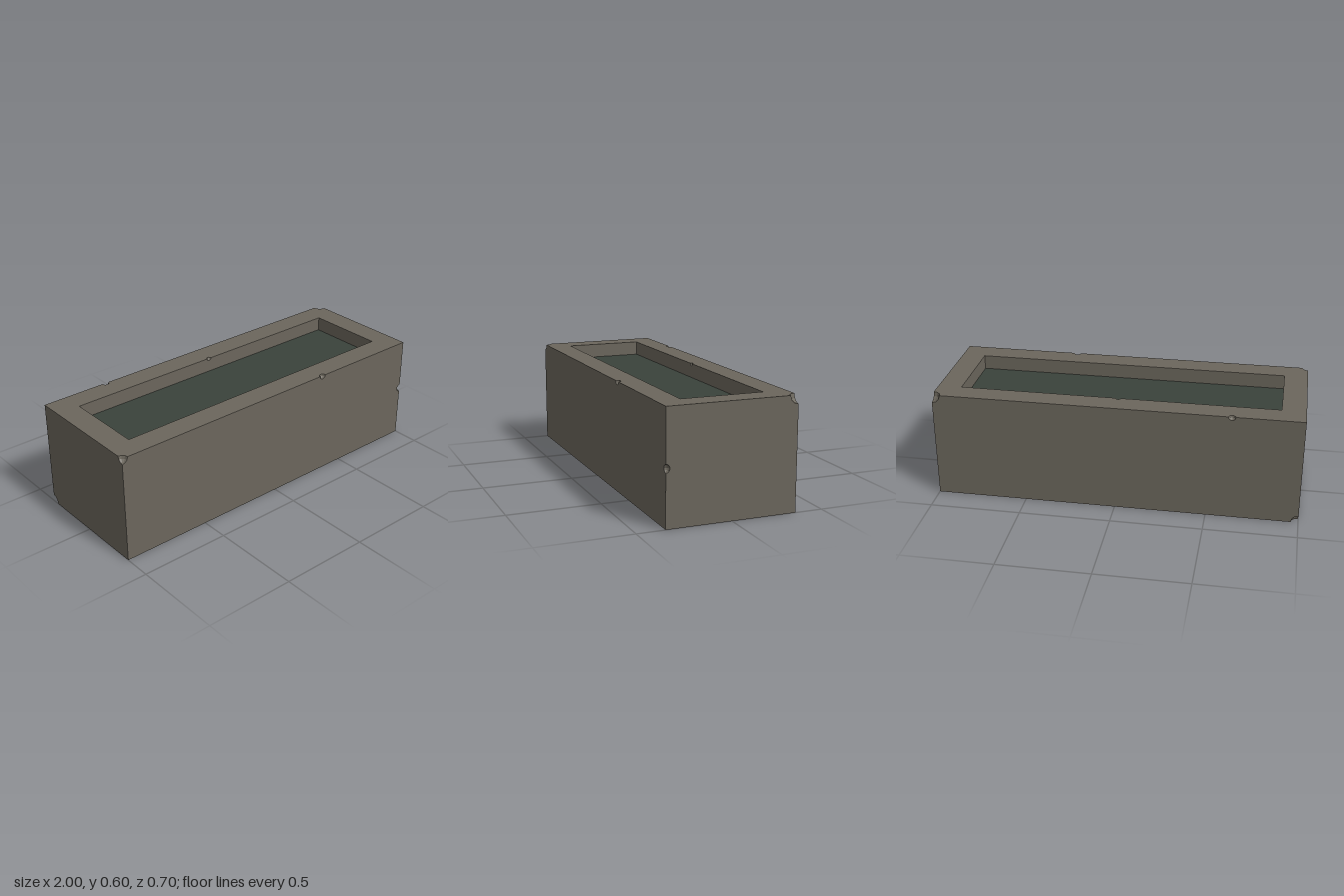
import * as THREE from 'three';

const W = 1, H = 0.6, D = 0.35;            // half width, height, half depth
const IW = 0.87, ID = 0.222, WATER = 0.52; // basin half width, half depth, water level
const V = (x, y, z) => new THREE.Vector3(x, y, z);

// Chipped corners and edges: centre and radius
const chips = [
  { p: V(-W, H, D), r: 0.033 },
  { p: V(W, H, -D), r: 0.045 },
  { p: V(-W, 0, -D), r: 0.04 },
  { p: V(0.34, H, D), r: 0.02 },
  { p: V(W, 0.3, D), r: 0.022 },
  { p: V(-0.62, H, -D), r: 0.02 },
  { p: V(0, H, -ID), r: 0.014 },
];

// Corners of a loop plus the chips lying on its edges, in order
function withChips(corners) {
  const out = [];
  corners.forEach((a, i) => {
    const b = corners[(i + 1) % corners.length];
    const len = a.distanceTo(b);
    const here = chips.find((c) => c.p.distanceTo(a) < 1e-6);
    out.push({ p: a, r: here ? here.r : 0 });
    chips
      .map((c) => ({ ...c, t: c.p.distanceTo(a) }))
      .filter((c) => c.t > 1e-6 && c.t < len - 1e-6 && Math.abs(c.t + c.p.distanceTo(b) - len) < 1e-6)
      .sort((c, d) => c.t - d.t)
      .forEach((c) => out.push(c));
  });
  return out;
}

// Flat wall with notched outline; stone lies on the left of every loop
function face(name, material, corners, hole) {
  const u = corners[1].clone().sub(corners[0]).normalize();
  const n = u.clone().cross(corners[2].clone().sub(corners[1])).normalize();
  const v = n.clone().cross(u);
  const flat = (p) => {
    const d = p.clone().sub(corners[0]);
    return new THREE.Vector2(d.dot(u), d.dot(v));
  };
  const outline = (loop) => {
    const pts = withChips(loop).map((c) => ({ q: flat(c.p), r: c.r }));
    const result = [];
    pts.forEach(({ q, r }, i) => {
      if (!r) return result.push(q);
      const prev = pts[(i + pts.length - 1) % pts.length].q;
      const next = pts[(i + 1) % pts.length].q;
      const start = prev.clone().sub(q).angle();
      let sweep = start - next.clone().sub(q).angle();
      if (sweep <= 0) sweep += Math.PI * 2;
      const steps = Math.round(sweep / (Math.PI / 6));
      for (let k = 0; k <= steps; k++) {
        const a = start - (sweep * k) / steps;
        result.push(new THREE.Vector2(q.x + r * Math.cos(a), q.y + r * Math.sin(a)));
      }
    });
    return result;
  };
  const shape = new THREE.Shape(outline(corners));
  if (hole) shape.holes.push(new THREE.Path(outline(hole)));
  const geo = new THREE.ShapeGeometry(shape);
  geo.applyMatrix4(new THREE.Matrix4().makeBasis(u, v, n).setPosition(corners[0]));
  const mesh = new THREE.Mesh(geo, material);
  mesh.name = name;
  return mesh;
}

// Hollow left by a chip: the part of a faceted ball inside the stone, facing inwards
function hollow({ p, r }, material) {
  const pos = new THREE.SphereGeometry(r, 12, 6).toNonIndexed().translate(p.x, p.y, p.z).attributes.position;
  const kept = [];
  for (let i = 0; i < pos.count; i += 3) {
    const [a, b, c] = [0, 1, 2].map((k) => V().fromBufferAttribute(pos, i + k));
    const m = a.clone().add(b).add(c).divideScalar(3);
    const inBlock = Math.abs(m.x) < W && m.y > 0 && m.y < H && Math.abs(m.z) < D;
    const inBasin = Math.abs(m.x) < IW && Math.abs(m.z) < ID && m.y > WATER;
    if (inBlock && !inBasin) kept.push(a, c, b);
  }
  const geo = new THREE.BufferGeometry().setFromPoints(kept);
  geo.computeVertexNormals();
  const mesh = new THREE.Mesh(geo, material);
  mesh.name = 'chip';
  return mesh;
}

export function createModel() {
  const stone = new THREE.MeshStandardMaterial({ color: 0x6b665c });
  stone.name = 'stone';
  const waterGreen = new THREE.MeshStandardMaterial({ color: 0x3a423b });
  waterGreen.name = 'dark water';

  const model = new THREE.Group();
  model.name = 'stoneTrough';

  // Outer block, counter-clockwise seen from outside
  const ring = (w, y, d) => [V(-w, y, d), V(w, y, d), V(w, y, -d), V(-w, y, -d)];
  const low = ring(W, 0, D), top = ring(W, H, D);
  ['frontWall', 'leftWall', 'backWall', 'rightWall'].forEach((name, i) => {
    const j = (i + 1) % 4;
    model.add(face(name, stone, [low[i], low[j], top[j], top[i]]));
  });
  model.add(face('base', stone, [...low].reverse()));

  // Rim and basin walls
  const rim = ring(IW, H, ID), bed = ring(IW, WATER, ID);
  model.add(face('rim', stone, top, [...rim].reverse()));
  for (let i = 0; i < 4; i++) {
    const j = (i + 1) % 4;
    model.add(face('basinWall', stone, [bed[j], bed[i], rim[i], rim[j]]));
  }

  // Water surface
  model.add(face('water', waterGreen, bed));

  // Worn chips
  chips.forEach((c) => model.add(hollow(c, stone)));
  return model;
}
